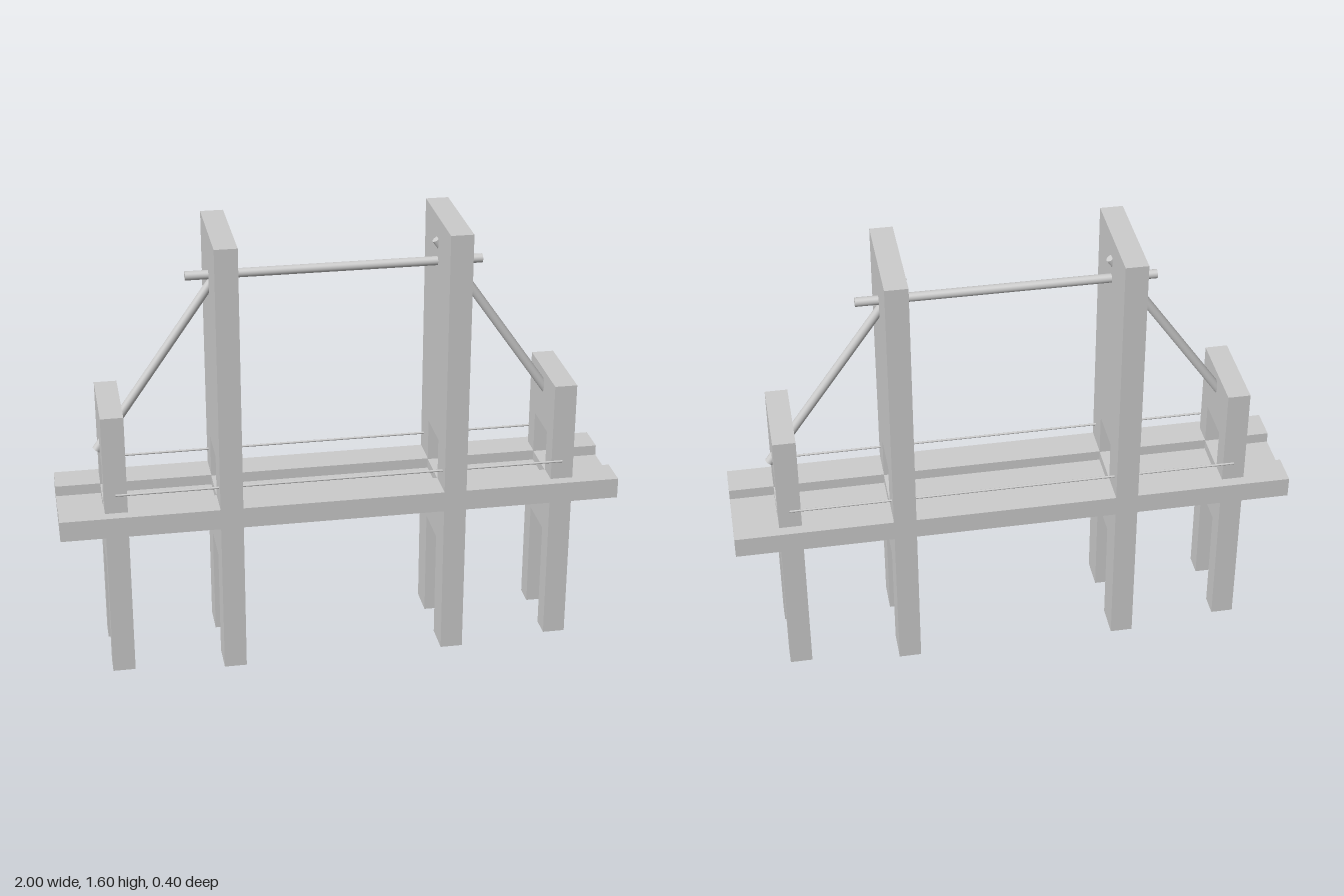
import * as THREE from 'three';

const material = new THREE.MeshStandardMaterial({ color: 0xcccccc });

function addMesh(group, name, geometry) {
  const mesh = new THREE.Mesh(geometry, material);
  mesh.name = name;
  group.add(mesh);
  return mesh;
}

// Extrudes a (z, y) outline along x, centred on the given x
function extrudeAlongX(shape, length, x) {
  const geometry = new THREE.ExtrudeGeometry(shape, { depth: length, bevelEnabled: false });
  geometry.translate(0, 0, -length / 2);
  geometry.rotateY(Math.PI / 2);
  geometry.translate(x, 0, 0);
  return geometry;
}

function outline(points) {
  return new THREE.Shape(points.map(([a, b]) => new THREE.Vector2(a, b)));
}

// Tower with two legs below and a gateway at deck level
function towerShape(halfDepth, height) {
  const gate = 0.082;
  const shape = outline([
    [-halfDepth, 0], [-gate, 0], [-gate, 0.4], [gate, 0.4],
    [gate, 0], [halfDepth, 0], [halfDepth, height], [-halfDepth, height],
  ]);
  shape.holes.push(new THREE.Path([
    [-gate, 0.635], [-gate, 0.79], [gate, 0.79], [gate, 0.635],
  ].map(([a, b]) => new THREE.Vector2(a, b))));
  return shape;
}

// Round rod between two points
function addRod(group, name, from, to, radius, sides) {
  const a = new THREE.Vector3(...from);
  const b = new THREE.Vector3(...to);
  const direction = b.clone().sub(a);
  const rod = addMesh(group, name, new THREE.CylinderGeometry(radius, radius, direction.length(), sides));
  rod.position.copy(a).add(b).multiplyScalar(0.5);
  rod.quaternion.setFromUnitVectors(new THREE.Vector3(0, 1, 0), direction.normalize());
}

export function createModel() {
  const model = new THREE.Group();
  model.name = 'bridge';

  // Deck with a sunken channel down the middle
  const deck = outline([
    [-0.2, 0.563], [0.2, 0.563], [0.2, 0.638], [0.082, 0.638],
    [0.082, 0.6], [-0.082, 0.6], [-0.082, 0.638], [-0.2, 0.638],
  ]);
  addMesh(model, 'deck', extrudeAlongX(deck, 2, 0));

  // Towers and the sloping struts joining each pair
  for (const [side, label] of [[1, 'left'], [-1, 'right']]) {
    addMesh(model, label + 'MainTower', extrudeAlongX(towerShape(0.2, 1.6), 0.08, side * 0.4));
    addMesh(model, label + 'EndTower', extrudeAlongX(towerShape(0.16, 1), 0.08, side * 0.8));
    addRod(model, label + 'Strut', [side * 0.355, 1.52, 0], [side * 0.85, 0.812, 0], 0.016, 24);
  }

  // Crossbar through the tall towers
  addRod(model, 'crossbar', [-0.52, 1.44, 0], [0.52, 1.44, 0], 0.016, 24);

  // Thin handrails
  for (const z of [-0.16, 0.16]) {
    addRod(model, z > 0 ? 'frontHandrail' : 'backHandrail', [-0.8, 0.706, z], [0.8, 0.706, z], 0.004, 12);
  }
  return model;
}
